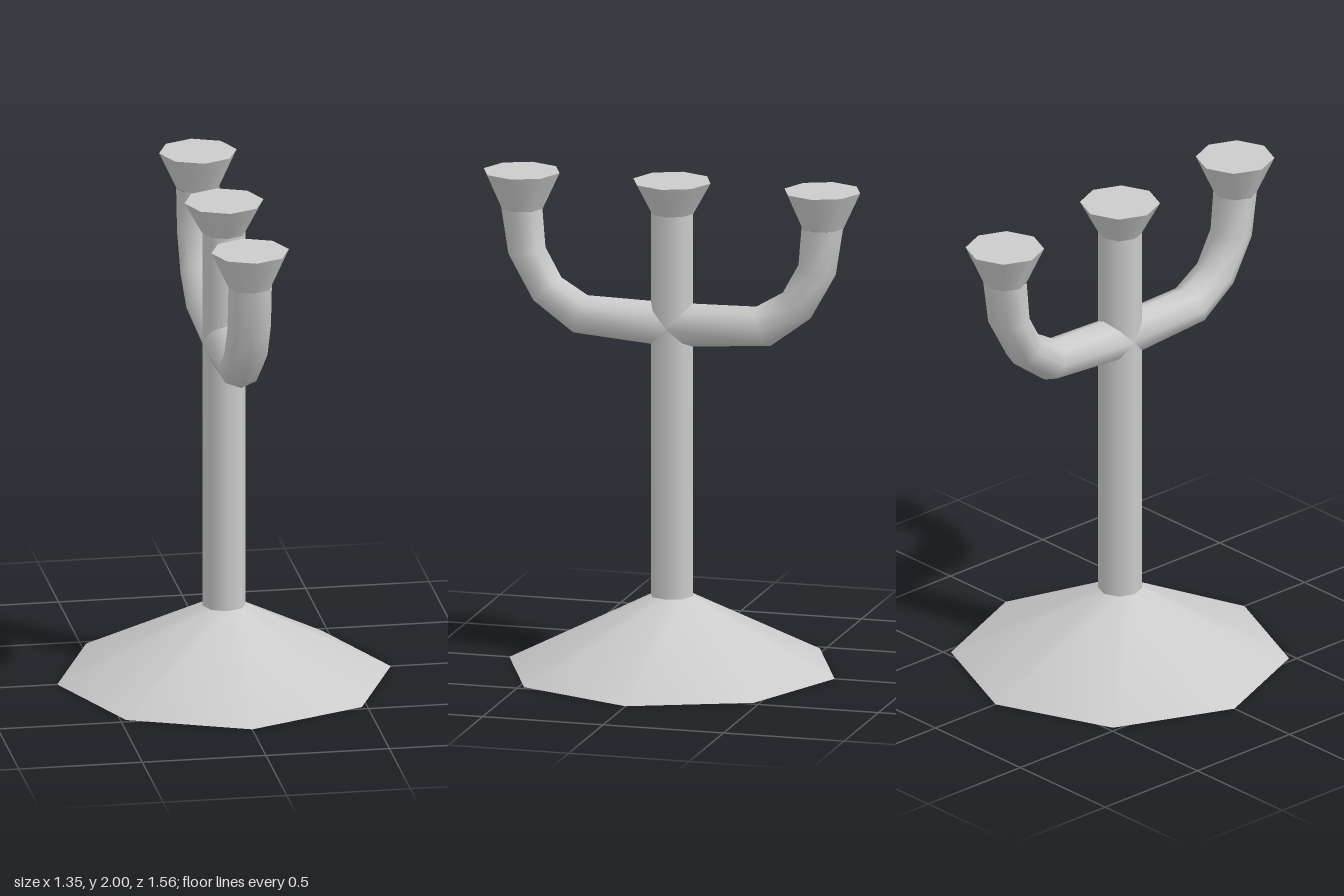
import * as THREE from 'three';

const SIDES = 8;
const R = 0.088; // stem and arm radius
const material = new THREE.MeshStandardMaterial({ color: 0xcccccc });

// Eight-sided tapered section standing between two heights
function taper(name, rTop, rBottom, y0, y1, z = 0) {
  const mesh = new THREE.Mesh(new THREE.CylinderGeometry(rTop, rBottom, y1 - y0, SIDES), material);
  mesh.position.set(0, (y0 + y1) / 2, z);
  mesh.name = name;
  return mesh;
}

// Bent arm: each section is [inner z, inner y, outer z, outer y]
function armGeometry() {
  const sections = [
    [0, 1.5, 0, 1.318],
    [0.35, 1.507, 0.41, 1.35],
    [0.46, 1.572, 0.575, 1.473],
    [0.525, 1.69, 0.68, 1.66],
    [0.538, 1.85, 0.71, 1.85],
  ];
  const positions = [], index = [];
  sections.forEach(([zi, yi, zo, yo], i) => {
    for (let j = 0; j < SIDES; j++) {
      const a = (j / SIDES) * Math.PI * 2;
      const c = Math.cos(a) / 2;
      positions.push(Math.sin(a) * R, (yi + yo) / 2 + c * (yi - yo), (zi + zo) / 2 + c * (zi - zo));
      if (i === sections.length - 1) continue;
      const p = i * SIDES + j, q = i * SIDES + ((j + 1) % SIDES);
      index.push(p, p + SIDES, q, q, p + SIDES, q + SIDES);
    }
  });
  const geometry = new THREE.BufferGeometry();
  geometry.setAttribute('position', new THREE.Float32BufferAttribute(positions, 3));
  geometry.setIndex(index);
  geometry.computeVertexNormals();
  return geometry;
}

export function createModel() {
  const model = new THREE.Group();
  model.name = 'candelabrum';

  // Foot, stem and middle cup
  model.add(taper('base', R, 0.675, 0, 0.3));
  model.add(taper('stem', R, R, 0.3, 1.87));
  model.add(taper('middleCup', 0.16, R, 1.87, 2));

  // Matching front and back arms, each with its cup
  const geometry = armGeometry();
  for (const side of ['front', 'back']) {
    const branch = new THREE.Group();
    branch.name = side + 'Branch';
    const arm = new THREE.Mesh(geometry, material);
    arm.name = side + 'Arm';
    branch.add(arm, taper(side + 'Cup', 0.157, 0.087, 1.85, 2, 0.624));
    if (side === 'back') branch.rotation.y = Math.PI;
    model.add(branch);
  }
  return model;
}
